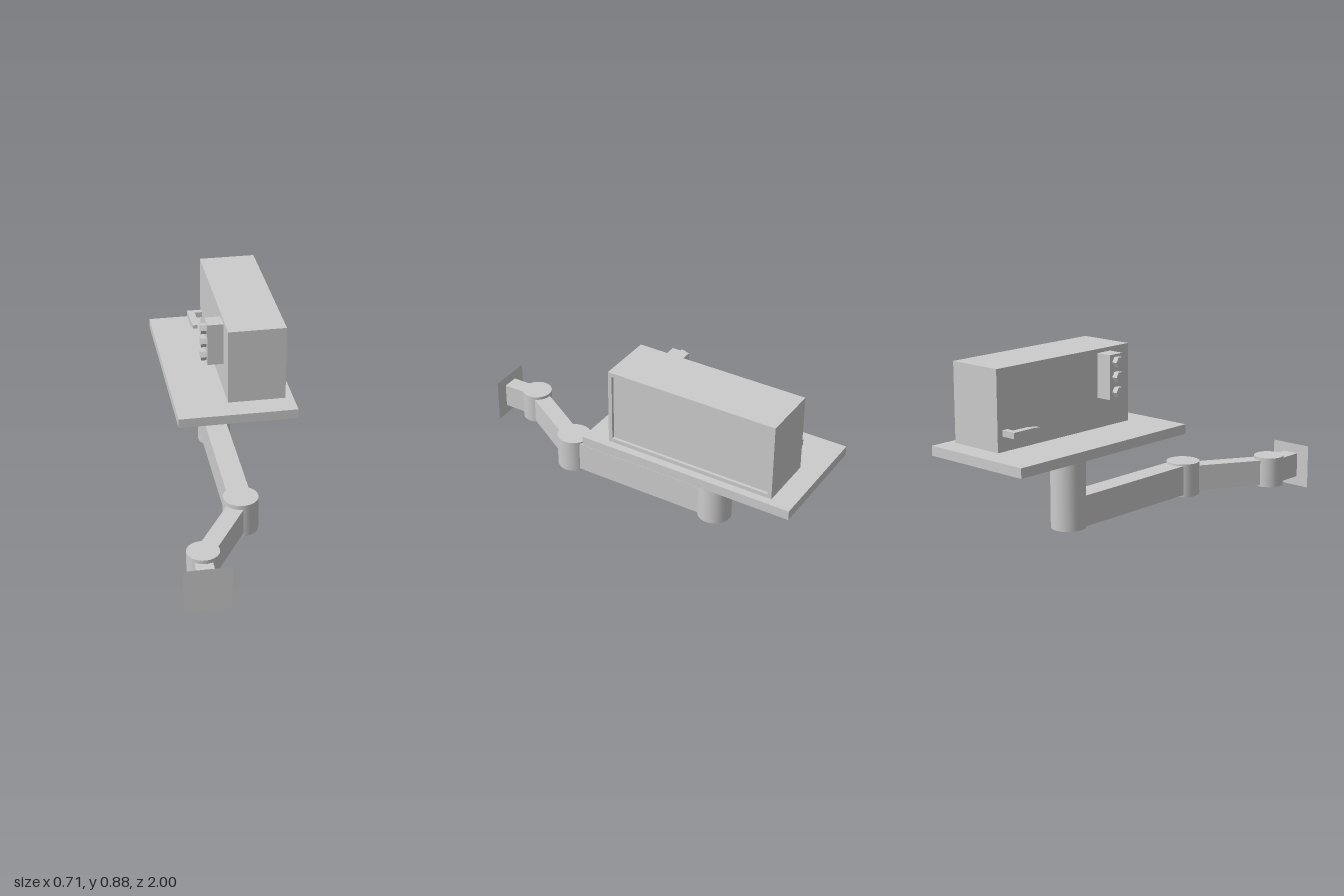
import * as THREE from 'three';

export function createModel() {
  const group = new THREE.Group();
  const grey = new THREE.MeshStandardMaterial({ color: 0xcccccc });
  const flat = new THREE.MeshStandardMaterial({ color: 0xcccccc, flatShading: true });
  const thin = new THREE.MeshStandardMaterial({ color: 0xcccccc, side: THREE.DoubleSide });

  const add = (name, geometry, material = grey) => {
    const mesh = new THREE.Mesh(geometry, material);
    mesh.name = name;
    group.add(mesh);
    return mesh;
  };
  // Box given by its extents along each axis
  const box = (name, x0, x1, y0, y1, z0, z1) => {
    const mesh = add(name, new THREE.BoxGeometry(x1 - x0, y1 - y0, z1 - z0));
    mesh.position.set((x0 + x1) / 2, (y0 + y1) / 2, (z0 + z1) / 2);
    return mesh;
  };
  // Upright cylinder between two heights
  const post = (name, x, z, r, y0, y1) => {
    const mesh = add(name, new THREE.CylinderGeometry(r, r, y1 - y0, 32));
    mesh.position.set(x, (y0 + y1) / 2, z);
    return mesh;
  };

  // Wall mount and folding arm
  const wall = add('wallPlate', new THREE.PlaneGeometry(0.225, 0.228), thin);
  wall.position.set(-0.243, 0.114, 1);
  box('wallBracket', -0.285, -0.2, 0.051, 0.178, 0.81, 1);

  const wrist = new THREE.Vector2(-0.235, 0.812);
  const elbow = new THREE.Vector2(0.014, 0.403);
  post('outerJoint', wrist.x, wrist.y, 0.078, 0.04, 0.197);
  post('elbowJoint', elbow.x, elbow.y, 0.087, 0.028, 0.203);

  const mid = wrist.clone().add(elbow).multiplyScalar(0.5);
  const fore = add('outerArm', new THREE.BoxGeometry(0.088, 0.134, wrist.distanceTo(elbow)));
  fore.position.set(mid.x, 0.114, mid.y);
  fore.rotation.y = Math.atan2(wrist.x - elbow.x, wrist.y - elbow.y);

  box('innerArm', -0.045, 0.068, 0.04, 0.195, -0.44, 0.4);
  post('column', 0.023, -0.44, 0.086, 0.036, 0.45);

  // Tray
  box('tray', -0.243, 0.355, 0.442, 0.49, -1, 0.115);

  // Cabinet with a raised rim around the panel on its left side
  const [z0, z1, y0, y1] = [-0.89, -0.01, 0.49, 0.88];
  box('cabinet', 0.024, 0.3, y0, y1, z0, z1);
  const rect = (Type, inset) => new Type([
    new THREE.Vector2(-z1 + inset, y0 + inset), new THREE.Vector2(-z0 - inset, y0 + inset),
    new THREE.Vector2(-z0 - inset, y1 - inset), new THREE.Vector2(-z1 + inset, y1 - inset),
  ]);
  const rimShape = rect(THREE.Shape, 0);
  rimShape.holes.push(rect(THREE.Path, 0.02));
  const rim = add('panelRim', new THREE.ExtrudeGeometry(rimShape, { depth: 0.015, bevelEnabled: false }));
  rim.rotation.y = Math.PI / 2;
  rim.position.x = 0.3;

  // Control block with three six-sided knobs
  box('controlBlock', -0.058, 0.024, 0.64, 0.86, -0.23, -0.14);
  for (const y of [0.823, 0.75, 0.676]) {
    const knob = add('knob', new THREE.CylinderGeometry(0.028, 0.028, 0.029, 6), flat);
    knob.rotation.z = Math.PI / 2;
    knob.position.set(-0.0715, y, -0.185);
  }

  // Bent handle with a tapered tip
  box('handleRoot', -0.053, 0.024, 0.563, 0.593, -0.86, -0.829);
  box('handleGrip', -0.053, -0.016, 0.563, 0.593, -0.829, -0.74);
  const tipGeometry = new THREE.BoxGeometry(0.037, 0.03, 0.05);
  const p = tipGeometry.attributes.position;
  for (let i = 0; i < p.count; i++) {
    if (p.getZ(i) > 0) p.setXY(i, p.getX(i) * 0.6, p.getY(i) * 0.65);
  }
  tipGeometry.computeVertexNormals();
  add('handleTip', tipGeometry).position.set(-0.0345, 0.578, -0.715);

  return group;
}
